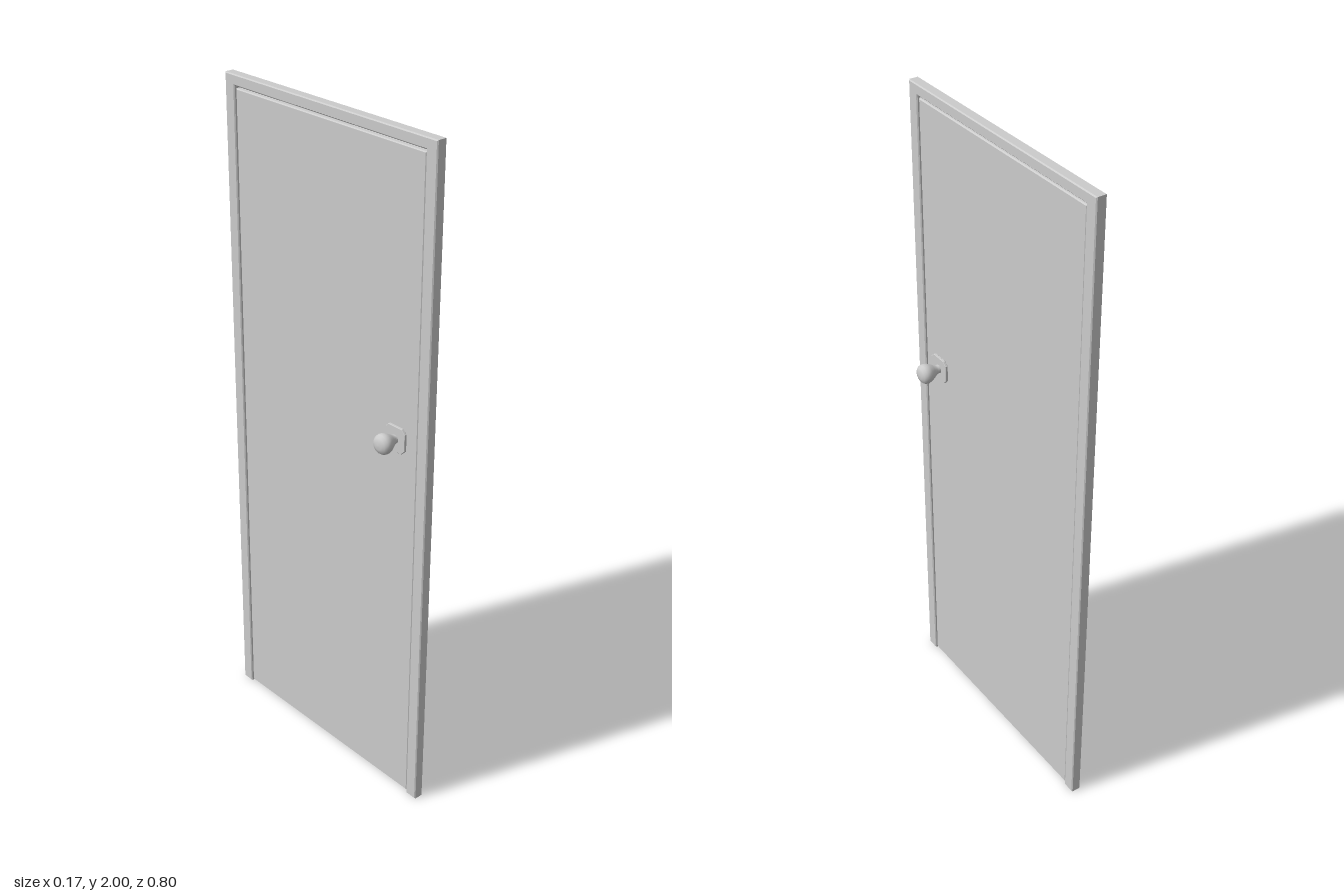
import * as THREE from 'three';

const doorX = -0.002; // mid-plane of the door leaf and frame
const knobY = 1.166, knobZ = 0.285;

// Extrude a (z, y) outline along x with chamfered edges, centred on x = 0.
function slab(points, thickness, bevel) {
  const shape = new THREE.Shape(points.map(([z, y]) => new THREE.Vector2(z, y)));
  const geometry = new THREE.ExtrudeGeometry(shape, {
    depth: thickness - 2 * bevel,
    bevelEnabled: true,
    bevelThickness: bevel,
    bevelSize: bevel,
    bevelOffset: -bevel,
    bevelSegments: 1,
  });
  geometry.translate(0, 0, bevel - thickness / 2);
  geometry.rotateY(-Math.PI / 2);
  return geometry;
}

export function createModel() {
  const model = new THREE.Group();
  model.name = 'door';
  const grey = new THREE.MeshStandardMaterial({ color: 0xcccccc });
  grey.name = 'light grey';

  function add(name, geometry, x, y = 0, z = 0) {
    const mesh = new THREE.Mesh(geometry, grey);
    mesh.name = name;
    mesh.position.set(x, y, z);
    model.add(mesh);
    return mesh;
  }

  // Frame: two jambs joined by a head, open at the bottom
  add('frame', slab([
    [-0.4, 0], [-0.362, 0], [-0.362, 1.969], [0.362, 1.969],
    [0.362, 0], [0.4, 0], [0.4, 2], [-0.4, 2],
  ], 0.031, 0.003), doorX);

  // Leaf: slightly recessed, with a thin gap under the head
  add('doorLeaf', slab([
    [-0.36, 0.006], [0.36, 0.006], [0.36, 1.962], [-0.36, 1.962],
  ], 0.023, 0.003), doorX);

  // Square backing plate with clipped corners, on both faces
  const h = 0.037, c = 0.025;
  const plate = slab([
    [-c, -h], [c, -h], [h, -c], [h, c], [c, h], [-c, h], [-h, c], [-h, -c],
  ], 0.008, 0.001);

  // Knob: narrow neck swelling to a rounded end, as [radius, distance from the leaf]
  const control = [
    [0.014, 0.010], [0.0125, 0.024], [0.014, 0.031], [0.020, 0.041], [0.027, 0.053],
    [0.0295, 0.063], [0.028, 0.072], [0.022, 0.080], [0.011, 0.0835], [0, 0.084],
  ].map(([r, d]) => new THREE.Vector2(r, d));
  const knob = new THREE.LatheGeometry(control, 20);

  for (const side of [1, -1]) {
    const label = side > 0 ? 'left' : 'right';
    add(label + 'Plate', plate, doorX + side * 0.017, knobY, knobZ);
    add(label + 'Knob', knob, 0, knobY, knobZ).rotation.z = -side * Math.PI / 2;
  }
  return model;
}
